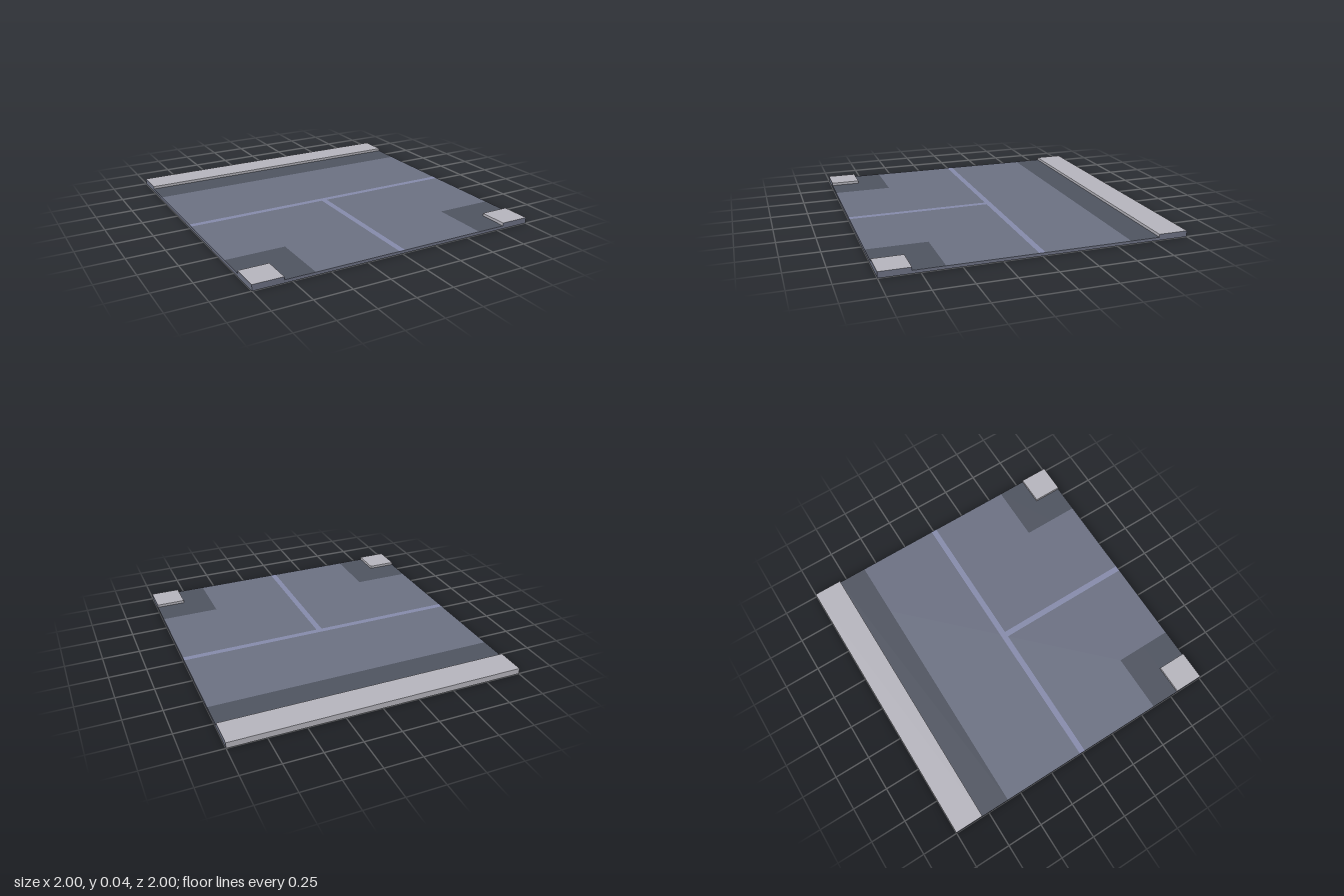
import * as THREE from 'three';

const paint = (color) => new THREE.MeshStandardMaterial({ color, flatShading: true });

export function createModel() {
  const tile = new THREE.Group();
  tile.name = 'roadJunctionTile';

  const road = paint(0x6c7183);
  const gutter = paint(0x4f5460);
  const marking = paint(0x868bab);
  const pavement = paint(0xb6b5bd);

  const deck = 0.02; // road surface height
  const kerbTop = 0.04;

  // Solid block; materials are ordered +x, -x, +y, -y, +z, -z
  function block(name, x0, x1, y0, y1, z0, z1, materials) {
    const mesh = new THREE.Mesh(new THREE.BoxGeometry(x1 - x0, y1 - y0, z1 - z0), materials);
    mesh.position.set((x0 + x1) / 2, (y0 + y1) / 2, (z0 + z1) / 2);
    mesh.name = name;
    tile.add(mesh);
  }

  // Flat painted patch lying just above the road
  function patch(name, x0, x1, z0, z1, material) {
    const geometry = new THREE.PlaneGeometry(x1 - x0, z1 - z0).rotateX(-Math.PI / 2);
    const mesh = new THREE.Mesh(geometry, material);
    mesh.position.set((x0 + x1) / 2, deck + 0.001, (z0 + z1) / 2);
    mesh.name = name;
    tile.add(mesh);
  }

  // Road slab with a pavement-coloured underside and back edge
  block('roadSlab', -1, 1, 0, deck, -1, 1, [road, road, road, pavement, road, pavement]);

  // Straight pavement along the back, with its gutter
  block('backPavement', -1, 1, deck, kerbTop, -1, -0.8,
    [road, road, pavement, pavement, pavement, pavement]);
  patch('backGutter', -1, 1, -0.8, -0.6, gutter);

  // Corner pavements at the front, each with an L-shaped gutter
  for (const side of [1, -1]) {
    const label = side > 0 ? 'left' : 'right';
    const span = (a, b) => (side > 0 ? [a, b] : [-b, -a]);
    const [outer, inner] = side > 0 ? [road, pavement] : [pavement, road];
    block(label + 'CornerPavement', ...span(0.8, 1), deck, kerbTop, 0.8, 1,
      [outer, inner, pavement, pavement, road, pavement]);
    patch(label + 'GutterAcross', ...span(0.6, 1), 0.6, 0.8, gutter);
    patch(label + 'GutterAlong', ...span(0.6, 0.8), 0.8, 1, gutter);
  }

  // Centre lines forming a T
  patch('mainCentreLine', -1, 1, -0.02, 0.02, marking);
  patch('sideCentreLine', -0.02, 0.02, 0.02, 1, marking);

  return tile;
}
